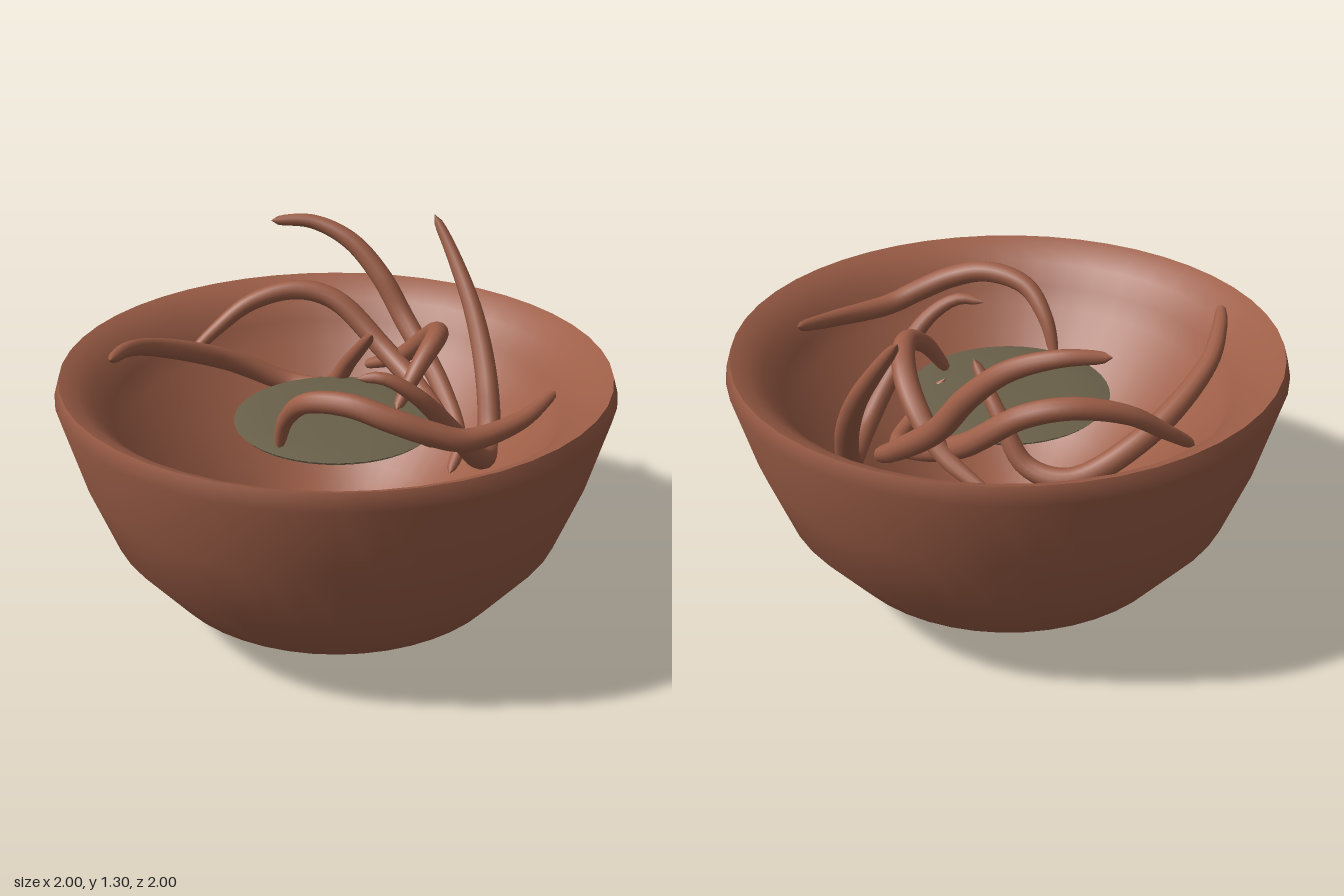
import * as THREE from 'three';

const clay = new THREE.MeshStandardMaterial({ color: 0x9d5e47 });
clay.name = 'terracotta';
const olive = new THREE.MeshStandardMaterial({ color: 0x696049 });
olive.name = 'olive';

const lathe = (name, material, profile) => {
  const mesh = new THREE.Mesh(
    new THREE.LatheGeometry(profile.map(([r, y]) => new THREE.Vector2(r, y)), 48), material);
  mesh.name = name;
  return mesh;
};

// Round tendril along a smooth path, thick in the middle and tapering to both tips
function tendril(name, points, thick = 0.042, thin = 0.017) {
  const curve = new THREE.CatmullRomCurve3(points.map(p => new THREE.Vector3(...p)));
  const steps = 56, sides = 12;
  const geo = new THREE.TubeGeometry(curve, steps, 1, sides, false);
  const pos = geo.attributes.position, v = new THREE.Vector3();
  for (let i = 0; i <= steps; i++) {
    const t = i / steps, c = curve.getPointAt(t);
    const body = thin + (thick - thin) * Math.max(0, Math.sin(Math.PI * t)) ** 0.75;
    const edge = Math.min(1, Math.min(t, 1 - t) / 0.035);
    const r = Math.max(0.0005, body * Math.sqrt(1 - (1 - edge) ** 2));
    for (let j = 0; j <= sides; j++) {
      const k = i * (sides + 1) + j;
      v.fromBufferAttribute(pos, k).sub(c).multiplyScalar(r).add(c);
      pos.setXYZ(k, v.x, v.y, v.z);
    }
  }
  const mesh = new THREE.Mesh(geo, clay);
  mesh.name = name;
  return mesh;
}

export function createModel() {
  const model = new THREE.Group();
  model.name = 'bowlWithTendrils';

  // Bowl: outer shell and hollow, meeting in a sharp rim
  model.add(lathe('bowlOuter', clay, [[0, 0], [0.2, 0.023], [0.39, 0.055], [0.655, 0.16],
    [0.83, 0.375], [0.925, 0.63], [0.998, 0.9], [0.98, 0.96]]));
  model.add(lathe('bowlInner', clay, [[0.98, 0.96], [0.93, 0.938], [0.87, 0.89], [0.81, 0.815],
    [0.77, 0.735], [0.6, 0.565], [0.4, 0.37], [0.2, 0.22], [0, 0.16]]));

  // Slightly domed disc in the middle of the bowl
  model.add(lathe('liquidDisc', olive, [[0.36, 0.735], [0.372, 0.747], [0.25, 0.758],
    [0.12, 0.763], [0, 0.765]]));

  // Tendrils, swirling round the bowl
  model.add(
    tendril('longLeftTendril', [[-0.77, 1.015, -0.21], [-0.68, 0.995, -0.33], [-0.54, 0.935, -0.46],
      [-0.22, 0.79, -0.57], [0.03, 0.67, -0.52], [0.14, 0.69, -0.4], [0.18, 0.83, -0.29], [0.2, 0.99, -0.13]]),
    tendril('backArchTendril', [[-0.36, 0.775, -0.67], [-0.23, 0.87, -0.69], [-0.08, 0.97, -0.68],
      [0.1, 1.015, -0.63], [0.23, 0.98, -0.55], [0.36, 0.82, -0.38], [0.43, 0.7, -0.15],
      [0.43, 0.64, 0.02], [0.33, 0.65, 0.13], [0.17, 0.765, 0.17]]),
    tendril('tallBackTendril', [[0.055, 1.258, -0.79], [0.2, 1.257, -0.72], [0.32, 1.195, -0.615],
      [0.405, 1.07, -0.505], [0.46, 0.92, -0.4], [0.505, 0.72, -0.15], [0.48, 0.58, 0.06], [0.4, 0.5, 0.14]]),
    tendril('middleArchTendril', [[0.17, 0.81, 0.15], [0.27, 0.95, 0.12], [0.37, 1.015, 0.05],
      [0.435, 0.985, -0.07], [0.455, 0.9, -0.21], [0.42, 0.78, -0.36], [0.34, 0.7, -0.51]]),
    tendril('frontTendril', [[-0.285, 0.75, 0.16], [-0.28, 0.88, 0.22], [-0.25, 0.985, 0.33],
      [-0.15, 1.015, 0.46], [-0.04, 0.98, 0.55], [0.08, 0.93, 0.595], [0.2, 0.89, 0.61],
      [0.43, 0.9, 0.57], [0.62, 0.94, 0.48]]),
    tendril('rightTendril', [[0.625, 1.3, -0.485], [0.655, 1.16, -0.37], [0.67, 0.97, -0.21],
      [0.645, 0.75, -0.04], [0.585, 0.565, 0.1], [0.47, 0.6, 0.24], [0.33, 0.75, 0.31],
      [0.16, 0.94, 0.335], [0.05, 1.01, 0.295], [-0.025, 1.0, 0.24]], 0.044, 0.015));
  return model;
}
